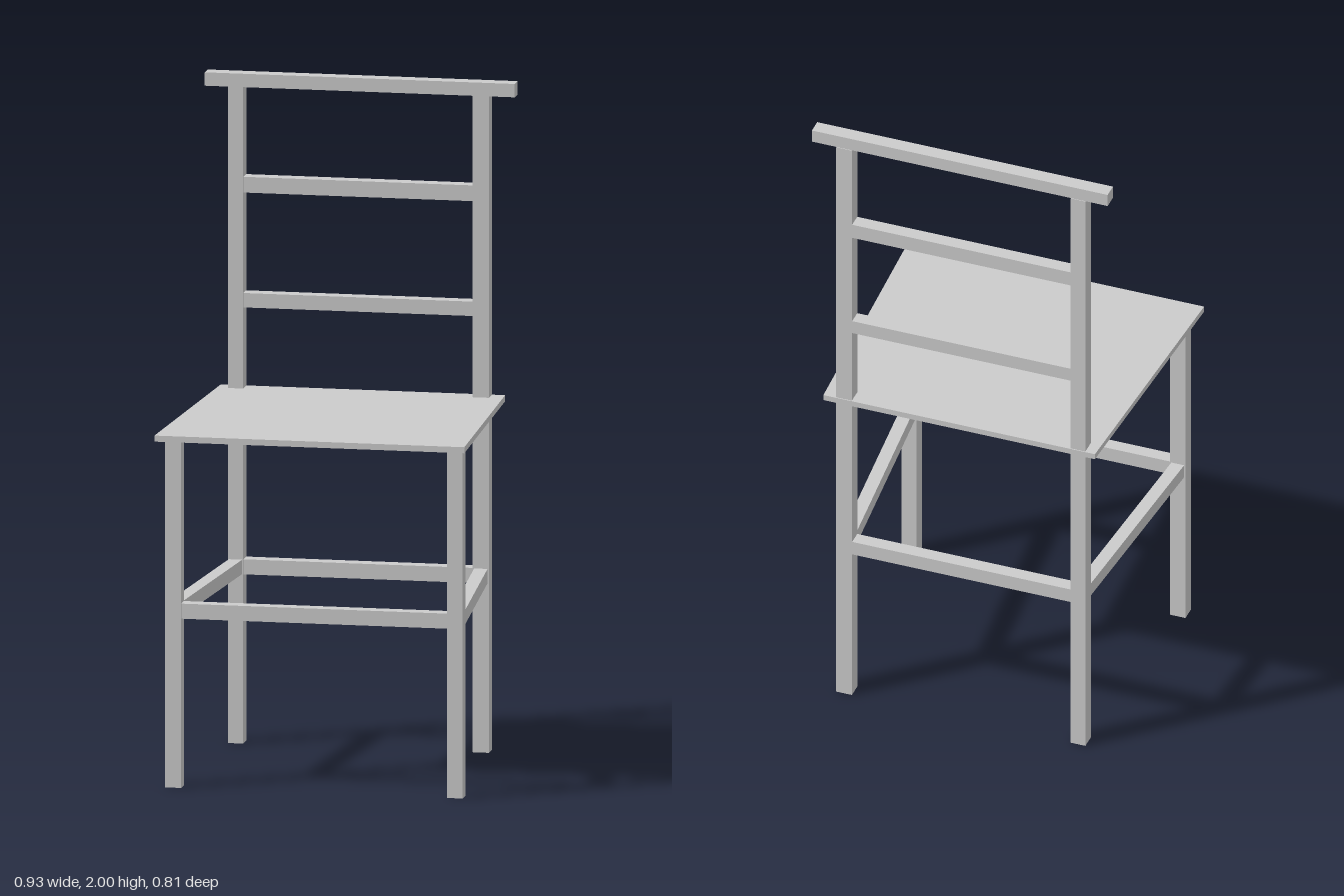
import * as THREE from 'three';

export function createModel() {
  const group = new THREE.Group();
  const material = new THREE.MeshStandardMaterial({ color: 0xcccccc, flatShading: true });

  const add = (name, geometry) => {
    const mesh = new THREE.Mesh(geometry, material);
    mesh.name = name;
    group.add(mesh);
    return mesh;
  };
  // Box given by its extents along each axis
  const bar = (name, [x0, x1], [y0, y1], [z0, z1]) =>
    add(name, new THREE.BoxGeometry(x1 - x0, y1 - y0, z1 - z0))
      .position.set((x0 + x1) / 2, (y0 + y1) / 2, (z0 + z1) / 2);
  // Horizontal slab extruded from a plan outline of [x, z] points
  const slab = (name, outline, y0, y1) => {
    const shape = new THREE.Shape(outline.map(([x, z]) => new THREE.Vector2(x, -z)));
    const geometry = new THREE.ExtrudeGeometry(shape, { depth: y1 - y0, bevelEnabled: false });
    geometry.rotateX(-Math.PI / 2);
    add(name, geometry).position.y = y0;
  };

  const backZ = [-0.402, -0.355];
  const frontZ = [0.305, 0.35];
  const stretcherY = [0.505, 0.55];

  // Legs; the back pair continues up as the backrest posts
  bar('frontLegRight', [-0.442, -0.394], [0, 1.042], frontZ);
  bar('frontLegLeft', [0.4, 0.447], [0, 1.042], frontZ);
  bar('backPostRight', [-0.394, -0.348], [0, 1.96], backZ);
  bar('backPostLeft', [0.337, 0.386], [0, 1.96], backZ);

  // Tapered seat, wider at the front
  slab('seat', [[-0.463, 0.405], [0.463, 0.405], [0.425, -0.405], [-0.425, -0.405]], 1.042, 1.06);

  // Backrest rails
  bar('topRail', [-0.463, 0.463], [1.96, 2], [-0.4, -0.355]);
  bar('upperSlat', [-0.348, 0.337], [1.645, 1.692], [-0.4, -0.357]);
  bar('lowerSlat', [-0.348, 0.337], [1.302, 1.345], [-0.4, -0.357]);

  // Front and back stretchers
  bar('frontStretcher', [-0.394, 0.4], stretcherY, [0.307, 0.348]);
  bar('backStretcher', [-0.348, 0.337], stretcherY, [-0.4, -0.357]);

  // Side stretchers splay outwards from the back posts to the front legs
  const sideStretcher = (name, backX, frontX, w = 0.02) =>
    slab(name, [[frontX - w, 0.306], [frontX + w, 0.306], [backX + w, -0.356], [backX - w, -0.356]], 0.506, 0.549);
  sideStretcher('sideStretcherRight', -0.371, -0.418);
  sideStretcher('sideStretcherLeft', 0.362, 0.423);

  return group;
}
